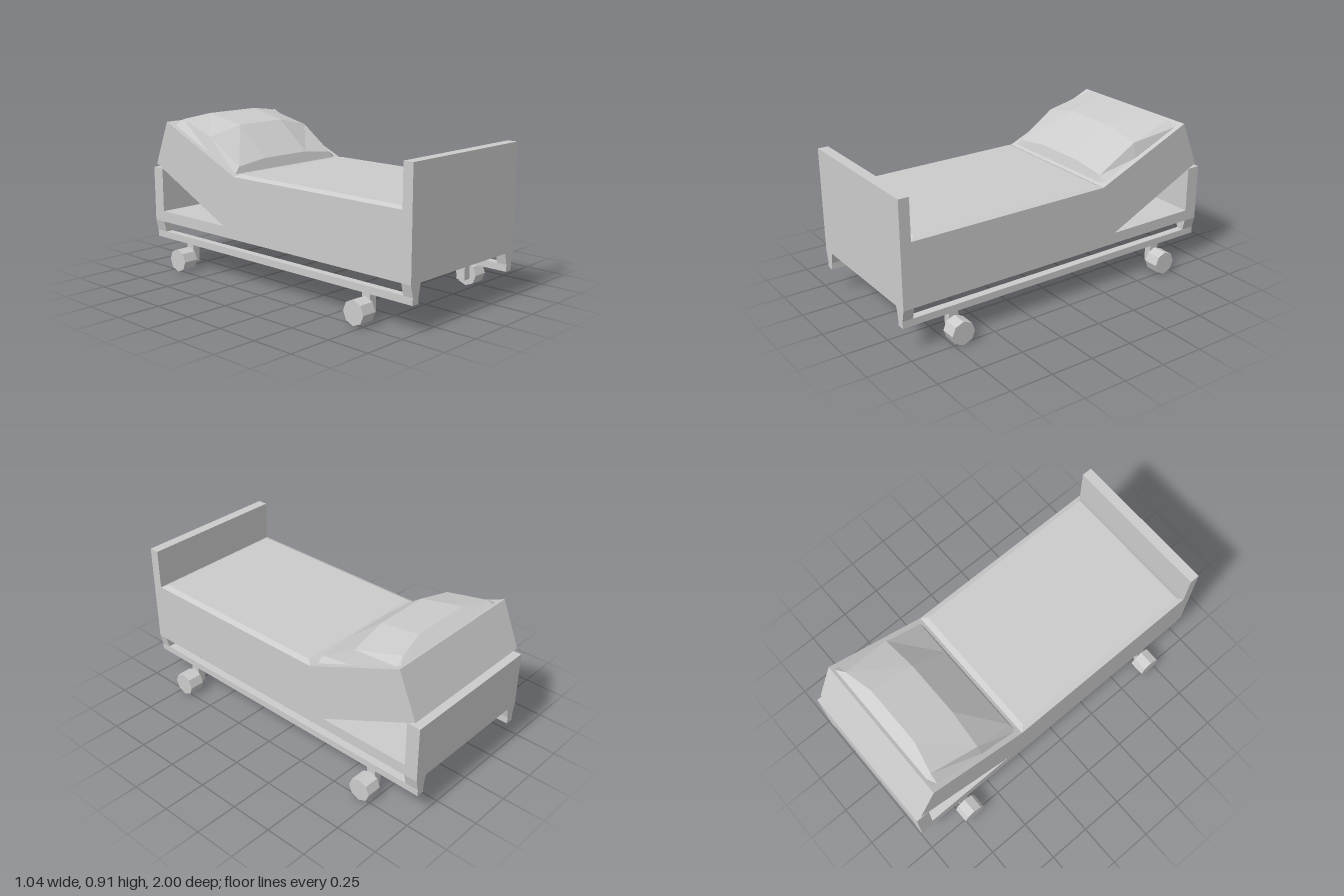
import * as THREE from 'three';

const material = new THREE.MeshStandardMaterial({ color: 0xcccccc, flatShading: true });

export function createModel() {
  const bed = new THREE.Group();

  function add(name, geometry, x = 0, y = 0, z = 0) {
    const mesh = new THREE.Mesh(geometry, material);
    mesh.name = name;
    mesh.position.set(x, y, z);
    bed.add(mesh);
    return mesh;
  }

  function extrude(points, depth) {
    const shape = new THREE.Shape(points.map(([x, y]) => new THREE.Vector2(x, y)));
    return new THREE.ExtrudeGeometry(shape, { depth, bevelEnabled: false }).translate(0, 0, -depth / 2);
  }

  // Mattress and bed base: side profile (z, y) with the head section raised
  const profile = [
    [0.94, 0.255], [0.94, 0.617], [-0.27, 0.617], [-0.86, 0.873],
    [-0.97, 0.61], [-0.365, 0.32], [-0.92, 0.32], [-0.92, 0.255],
  ];
  add('mattress', extrude(profile, 0.88).rotateY(-Math.PI / 2));

  // Shallow chamfered top of the flat mattress section
  const top = new THREE.BoxGeometry(0.88, 0.014, 1.21);
  const p = top.attributes.position;
  for (let i = 0; i < p.count; i++) {
    if (p.getY(i) > 0) {
      p.setX(i, p.getX(i) - Math.sign(p.getX(i)) * 0.03);
      p.setZ(i, p.getZ(i) - Math.sign(p.getZ(i)) * 0.032);
    }
  }
  top.computeVertexNormals();
  add('mattressTop', top, 0, 0.624, 0.335);

  // End boards with tapered legs
  function endBoard(name, height, depth, z) {
    const half = [[0.365, 0.255], [0.38, 0.19], [0.38, 0.15], [0.425, 0.15], [0.425, 0.19], [0.44, 0.255], [0.44, height]];
    const mirrored = half.map(([x, y]) => [-x, y]).reverse();
    add(name, extrude([...half, ...mirrored], depth), 0, 0, z);
  }
  endBoard('footboard', 0.853, 0.06, 0.97);
  endBoard('headboard', 0.585, 0.08, -0.96);

  // Lower side rails and casters
  for (const side of [-1, 1]) {
    add('sideRail', new THREE.BoxGeometry(0.045, 0.04, 1.86), side * 0.4025, 0.17, 0.01);
    for (const z of [0.703, -0.692]) {
      add('casterBracket', new THREE.BoxGeometry(0.045, 0.105, 0.056), side * 0.4025, 0.0975, z);
      add('casterAxle', new THREE.BoxGeometry(0.02, 0.05, 0.05), side * 0.43, 0.07, z);
      add('casterWheel', new THREE.CylinderGeometry(0.068, 0.068, 0.09, 8).rotateZ(Math.PI / 2), side * 0.476, 0.069, z);
    }
  }

  // Pillow: rows from front to back, each [x, y, z] from the edge to the middle
  const rows = [
    [[0.41, 0.626, -0.288], [0.38, 0.626, -0.288], [0.17, 0.626, -0.288]],
    [[0.41, 0.632, -0.3], [0.37, 0.662, -0.3], [0.17, 0.686, -0.307]],
    [[0.41, 0.728, -0.525], [0.385, 0.81, -0.53], [0.165, 0.86, -0.518]],
    [[0.41, 0.853, -0.815], [0.355, 0.885, -0.81], [0.18, 0.91, -0.772]],
    [[0.41, 0.866, -0.842], [0.36, 0.866, -0.842], [0.17, 0.866, -0.842]],
  ].map((r) => [...r.map(([x, y, z]) => [-x, y, z]), ...[...r].reverse()]);
  const vertices = [];
  for (let i = 0; i < rows.length - 1; i++) {
    for (let j = 0; j < rows[0].length - 1; j++) {
      const a = rows[i][j], b = rows[i][j + 1], c = rows[i + 1][j + 1], d = rows[i + 1][j];
      vertices.push(...a, ...b, ...c, ...a, ...c, ...d);
    }
  }
  const pillow = new THREE.BufferGeometry();
  pillow.setAttribute('position', new THREE.Float32BufferAttribute(vertices, 3));
  pillow.computeVertexNormals();
  add('pillow', pillow);

  return bed;
}
